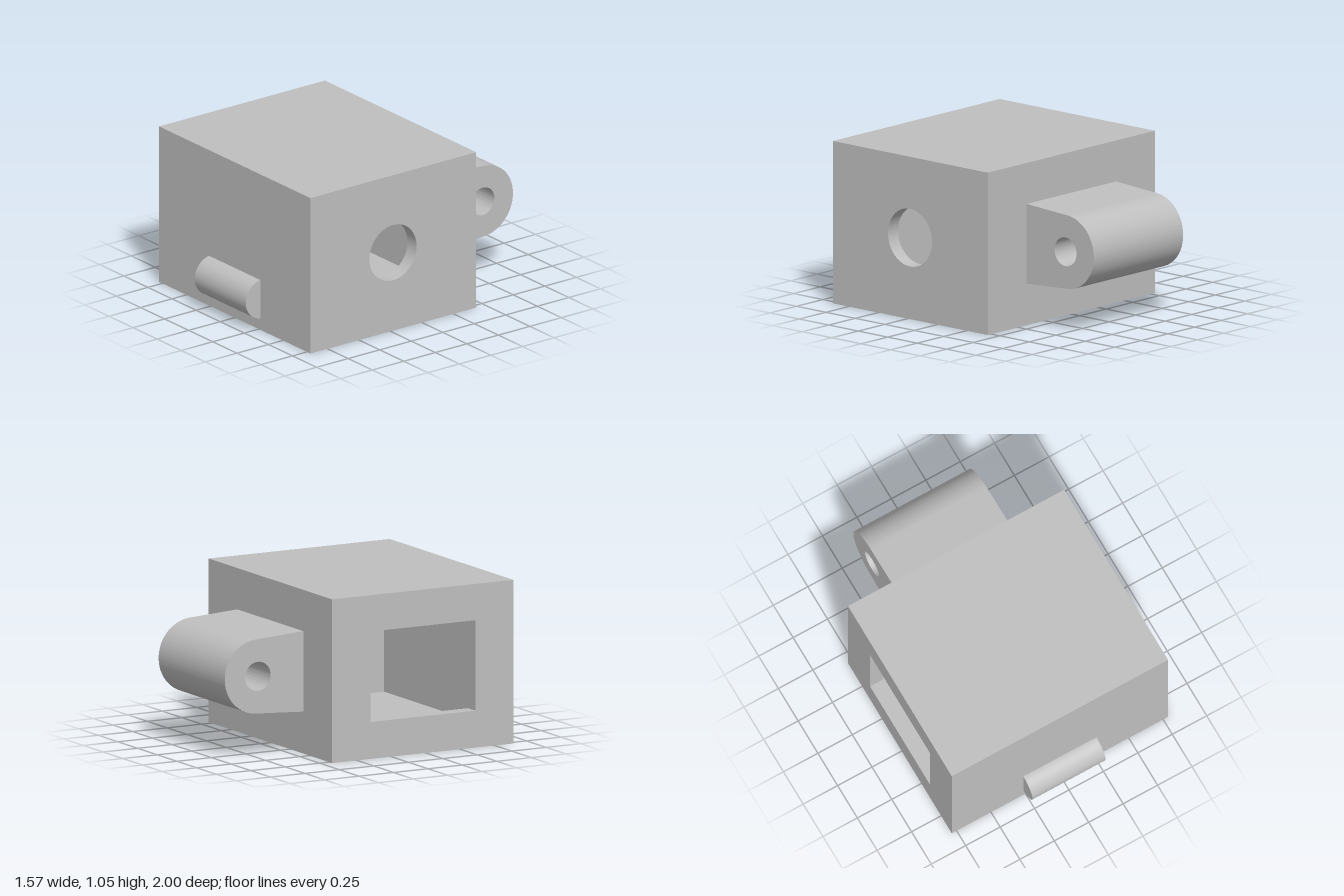
import * as THREE from 'three';
import { toCreasedNormals } from 'three/addons/utils/BufferGeometryUtils.js';

const grey = new THREE.MeshStandardMaterial({ color: 0xbfbfbf });
grey.name = 'plain grey';

// Housing dimensions
const HALF_X = 0.785, WALL = 0.095;
const BACK = -0.43, FRONT = 0.885, TOP = 1.05;
const MID_Z = 0.23, MID_Y = 0.527;

// Extrudes a side profile drawn in (z, y) across the span x0..x1
function extrudeAcross(name, shape, x0, x1) {
  const geo = new THREE.ExtrudeGeometry(shape, { depth: x1 - x0, bevelEnabled: false, curveSegments: 40 });
  geo.rotateY(-Math.PI / 2);
  geo.translate(x1, 0, 0);
  const mesh = new THREE.Mesh(toCreasedNormals(geo, 0.4), grey);
  mesh.name = name;
  return mesh;
}

function rectangle(z0, y0, z1, y1, Type = THREE.Shape) {
  const s = new Type();
  s.moveTo(z0, y0);
  s.lineTo(z1, y0);
  s.lineTo(z1, y1);
  s.lineTo(z0, y1);
  s.closePath();
  return s;
}

const circle = (z, y, r) => new THREE.Path().absarc(z, y, r, 0, Math.PI * 2, false);
const outline = () => rectangle(BACK, 0, FRONT, TOP);

export function createModel() {
  const model = new THREE.Group();
  model.name = 'hollowHousing';

  // Four walls around the cavity
  const walls = outline();
  walls.holes.push(rectangle(BACK + WALL, WALL, FRONT - WALL, TOP - WALL, THREE.Path));
  model.add(extrudeAcross('housingWalls', walls, -HALF_X + WALL, HALF_X - WALL));

  // Left end with a round hole
  const leftEnd = outline();
  leftEnd.holes.push(circle(MID_Z, MID_Y, 0.187));
  model.add(extrudeAcross('roundHoleWall', leftEnd, HALF_X - WALL, HALF_X));

  // Right end with a rectangular window
  const rightEnd = outline();
  rightEnd.holes.push(rectangle(MID_Z - 0.38, MID_Y - 0.29, MID_Z + 0.38, MID_Y + 0.29, THREE.Path));
  model.add(extrudeAcross('windowWall', rightEnd, -HALF_X, -HALF_X + WALL));

  // Tapered hinge lug with a rounded end and pin hole
  const lug = new THREE.Shape();
  lug.moveTo(BACK, MID_Y - 0.258);
  lug.lineTo(BACK, MID_Y + 0.258);
  lug.absarc(-0.762, MID_Y, 0.238, 1.63, Math.PI * 2 - 1.63, false);
  lug.closePath();
  lug.holes.push(circle(-0.76, MID_Y, 0.093));
  model.add(extrudeAcross('hingeLug', lug, -0.42, 0.42));

  // Rounded catch on the front
  const catchProfile = new THREE.Shape();
  const a = Math.acos((FRONT - 0.87) / 0.13);
  catchProfile.absarc(0.87, 0.207, 0.13, -a, a, false);
  catchProfile.closePath();
  model.add(extrudeAcross('frontCatch', catchProfile, -0.265, 0.265));

  return model;
}
